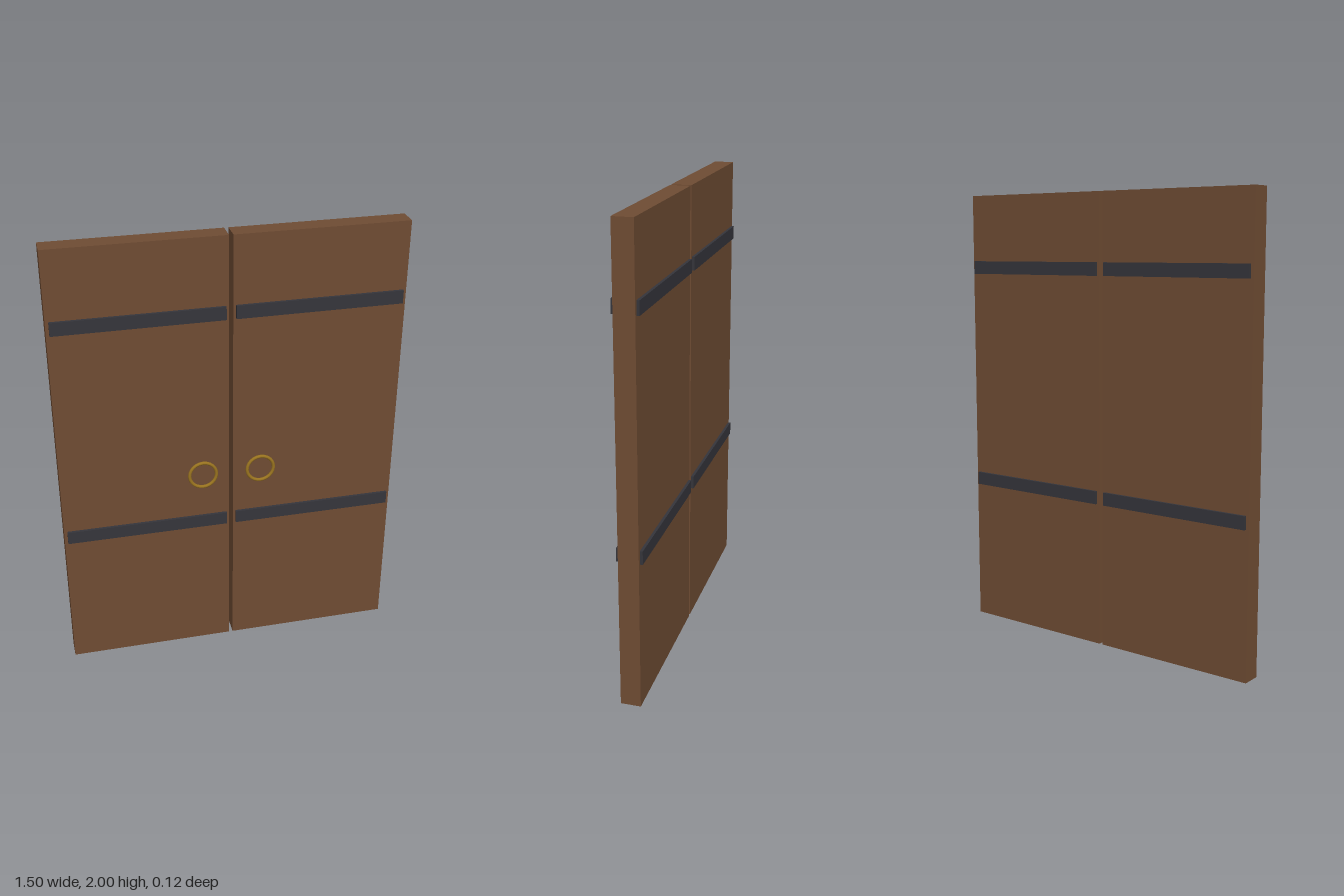
import * as THREE from 'three';

export function createModel() {
  const wood = new THREE.MeshStandardMaterial({ name: 'brown wood', color: 0x6f4c33 });
  const iron = new THREE.MeshStandardMaterial({ name: 'dark iron', color: 0x35353b });
  const brass = new THREE.MeshStandardMaterial({ name: 'brass', color: 0x9a7420 });

  const model = new THREE.Group();
  model.name = 'doubleDoor';

  function add(parent, name, geometry, material, x, y, z) {
    const mesh = new THREE.Mesh(geometry, material);
    mesh.name = name;
    mesh.position.set(x, y, z);
    parent.add(mesh);
  }

  const panel = new THREE.BoxGeometry(0.741, 2, 0.086);
  const strap = new THREE.BoxGeometry(0.715, 0.058, 0.11);
  const ring = new THREE.TorusGeometry(0.06, 0.0075, 8, 24);

  for (const side of [-1, 1]) {
    const door = new THREE.Group();
    door.name = side > 0 ? 'leftDoor' : 'rightDoor';
    model.add(door);

    add(door, 'panel', panel, wood, side * 0.3795, 1, -0.007);
    // Straps run through the panel and stand proud on both faces
    for (const y of [0.673, 1.673]) add(door, 'strap', strap, iron, side * 0.3785, y, -0.007);
    // Pull ring on the front only
    add(door, 'pullRing', ring, brass, side * 0.129, 0.921, 0.0535);
  }
  return model;
}
